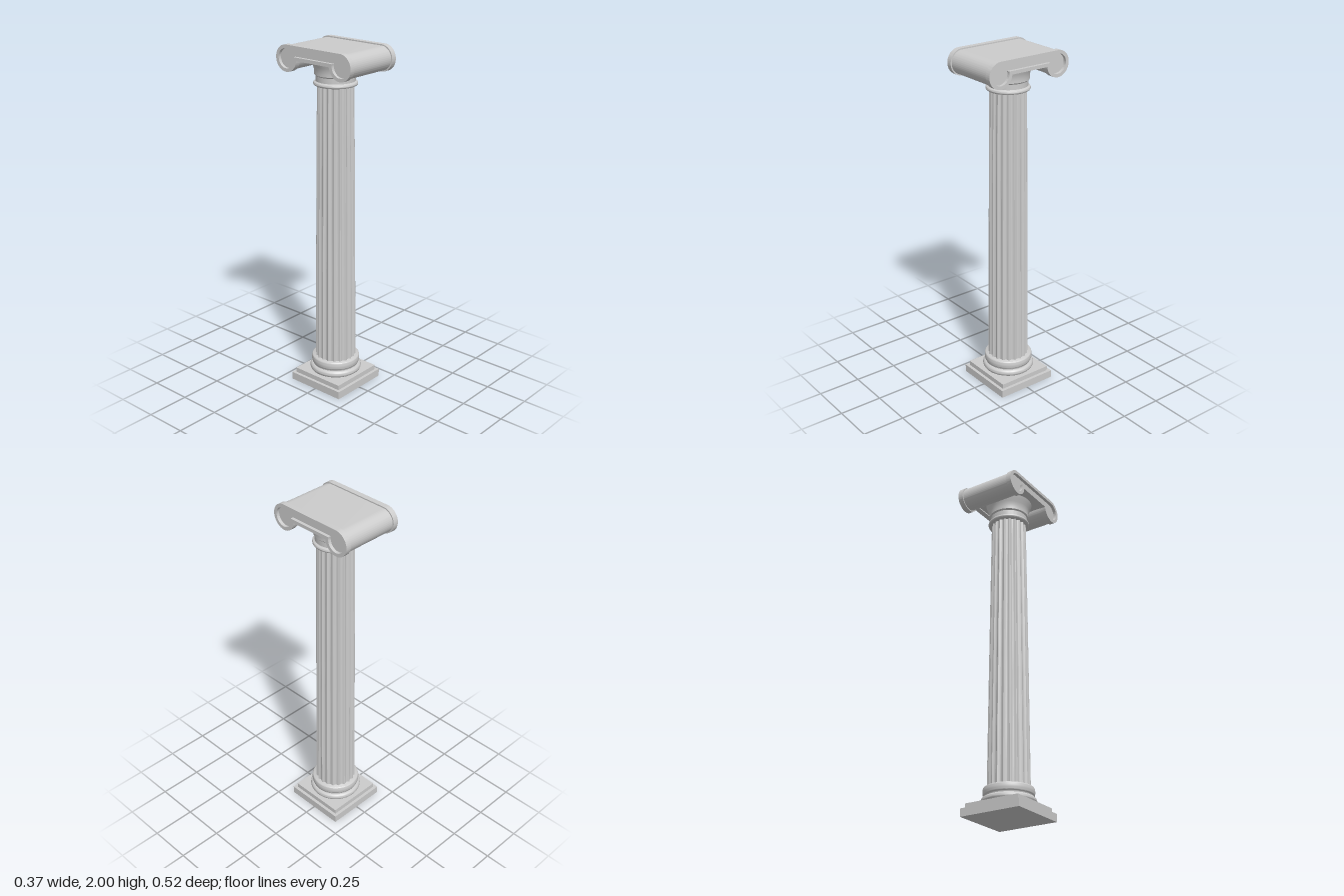
import * as THREE from 'three';
import { toCreasedNormals } from 'three/addons/utils/BufferGeometryUtils.js';

const material = new THREE.MeshStandardMaterial({ color: 0xcccccc });

function add(parent, name, geometry, crease = 0.6) {
  const mesh = new THREE.Mesh(toCreasedNormals(geometry, crease), material);
  mesh.name = name;
  parent.add(mesh);
  return mesh;
}

function slab(parent, name, half, y0, y1) {
  add(parent, name, new THREE.BoxGeometry(half * 2, y1 - y0, half * 2).translate(0, (y0 + y1) / 2, 0));
}

// Turned part; the profile is [radius, height] from bottom to top
function turned(parent, name, profile) {
  const points = profile.map(([r, y]) => new THREE.Vector2(r, y));
  add(parent, name, new THREE.LatheGeometry(points, 64));
}

// Points of a rounded moulding bulging outwards from radius r
function roll(r, bulge, y0, y1, steps = 10) {
  const points = [];
  for (let i = 0; i <= steps; i++) {
    const a = Math.PI * (i / steps - 0.5);
    points.push([r + bulge * Math.cos(a), (y0 + y1) / 2 + ((y1 - y0) / 2) * Math.sin(a)]);
  }
  return points;
}

// Fluted, tapering shaft: flat fillets between shallow round grooves
function shaftGeometry(y0, y1) {
  const flutes = 20, perFlute = 9, depth = 0.009;
  const geometry = new THREE.CylinderGeometry(1, 1, y1 - y0, flutes * perFlute, 12);
  geometry.translate(0, (y0 + y1) / 2, 0);
  const pos = geometry.attributes.position;
  for (let i = 0; i < pos.count; i++) {
    const x = pos.getX(i), y = pos.getY(i), z = pos.getZ(i);
    if (Math.hypot(x, z) < 0.5) continue;
    const t = (y - y0) / (y1 - y0);
    const radius = 0.117 - 0.013 * t - 0.003 * t * t;
    const turn = Math.atan2(x, z) / (Math.PI * 2) + 1;
    const step = Math.round(turn * flutes * perFlute) % perFlute;
    const groove = step < 2 ? 0 : Math.sin((Math.PI * (step - 1)) / (perFlute - 1));
    const r = radius - depth * groove;
    pos.setXYZ(i, x * r, y, z * r);
  }
  return geometry;
}

// Scroll outline in the z-y plane: two round volutes joined by a bar, shrunk by inset
function scrollOutline(Type, inset) {
  const cz = 0.188, cy = 1.927, r = 0.073 - inset, bottom = 1.921 + inset;
  const inner = Math.asin((bottom - cy) / r);
  const outline = new Type();
  outline.moveTo(-cz, cy + r);
  outline.absarc(-cz, cy, r, Math.PI / 2, Math.PI * 2 + inner, false);
  outline.absarc(cz, cy, r, Math.PI - inner, Math.PI * 2.5, false);
  outline.closePath();
  return outline;
}

function scrollGeometry(shape, x0, x1) {
  const geometry = new THREE.ExtrudeGeometry(shape, { depth: x1 - x0, bevelEnabled: false, curveSegments: 32 });
  return geometry.translate(0, 0, -x1).rotateY(-Math.PI / 2);
}

export function createModel() {
  const column = new THREE.Group();
  column.name = 'column';

  // Square plinth in two steps
  slab(column, 'plinthLower', 0.183, 0, 0.045);
  slab(column, 'plinthUpper', 0.165, 0.045, 0.073);

  // Round base mouldings
  turned(column, 'base', [
    [0, 0.073],
    ...roll(0.132, 0.018, 0.073, 0.113),
    [0.132, 0.118],
    ...roll(0.134, 0.006, 0.121, 0.166),
    [0, 0.166],
  ]);

  add(column, 'shaft', shaftGeometry(0.16, 1.785), 0.4);

  // Neck ring and flaring cup under the scroll
  turned(column, 'neck', [
    [0, 1.782],
    ...roll(0.112, 0.009, 1.782, 1.803),
    [0.108, 1.806], [0.108, 1.835], [0.115, 1.842], [0.115, 1.856],
    [0.117, 1.872], [0.122, 1.89], [0.13, 1.908], [0.136, 1.928],
    [0, 1.928],
  ]);

  // Scroll capital: body with a raised rim at each end
  const capital = new THREE.Group();
  capital.name = 'scrollCapital';
  column.add(capital);
  add(capital, 'scrollBody', scrollGeometry(scrollOutline(THREE.Shape, 0.007), -0.167, 0.167));
  for (const side of [1, -1]) {
    const rim = scrollOutline(THREE.Shape, 0);
    rim.holes.push(scrollOutline(THREE.Path, 0.019));
    const [x0, x1] = side > 0 ? [0.154, 0.185] : [-0.185, -0.154];
    add(capital, side > 0 ? 'leftScrollRim' : 'rightScrollRim', scrollGeometry(rim, x0, x1));
  }
  return column;
}
